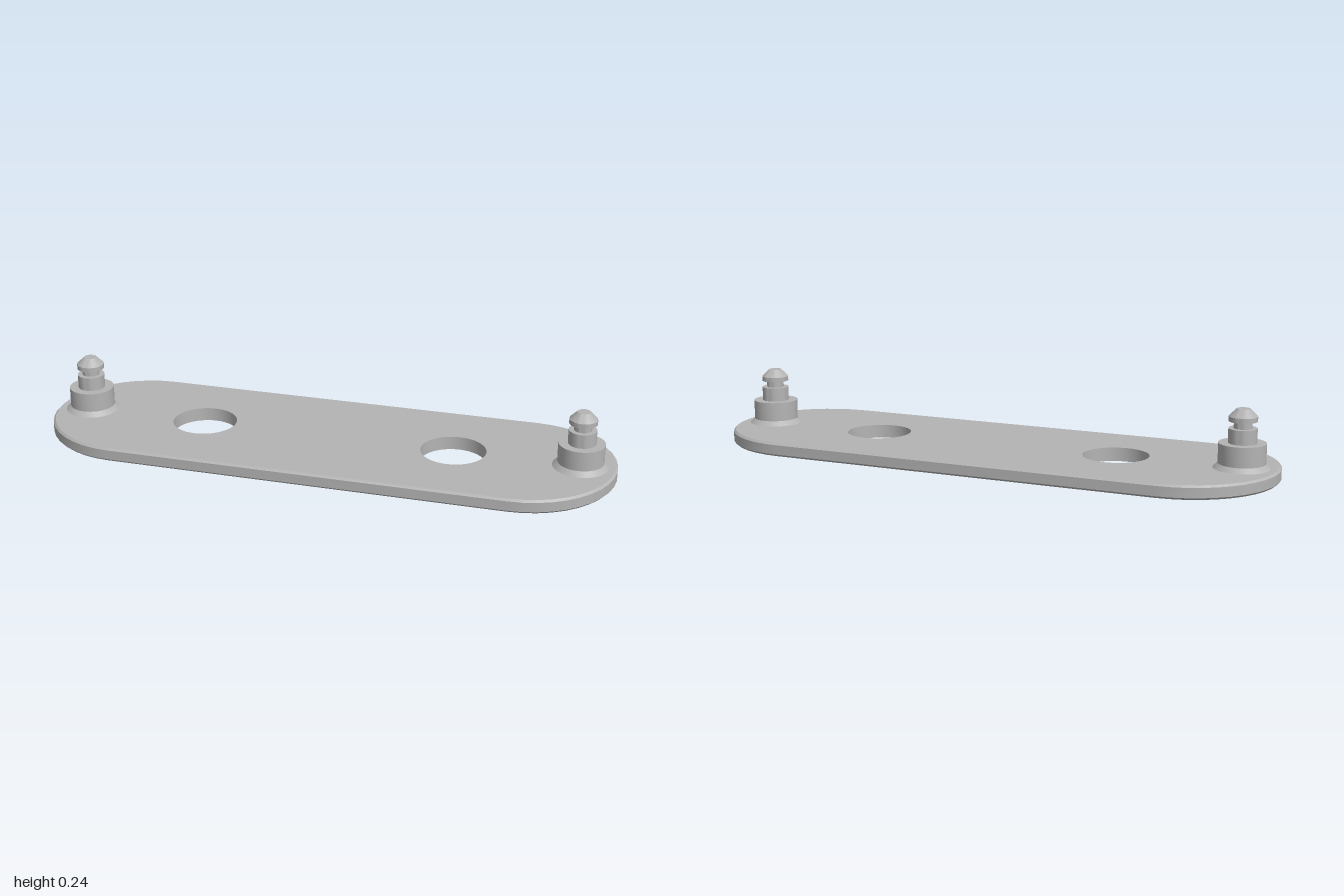
import * as THREE from 'three';
import { toCreasedNormals } from 'three/addons/utils/BufferGeometryUtils.js';

const END_X = 0.685, RADIUS = 0.315, THICK = 0.047, CHAMFER = 0.007;
const HOLE_X = 0.447, HOLE_R = 0.112, PIN_X = 0.877;
const ARC_STEPS = 20;

// Rounded-end outline, counter-clockwise, pulled inward by inset
function outline(inset) {
  const points = [];
  for (const side of [1, -1]) {
    for (let i = 0; i <= ARC_STEPS; i++) {
      const a = -Math.PI / 2 + (Math.PI * i) / ARC_STEPS;
      const r = RADIUS - inset;
      points.push(new THREE.Vector2(side * (END_X + r * Math.cos(a)), side * r * Math.sin(a)));
    }
  }
  return points;
}

// Flat face of the plate with its two holes
function faceGeometry() {
  const shape = new THREE.Shape(outline(CHAMFER));
  for (const side of [1, -1]) {
    shape.holes.push(new THREE.Path().absarc(side * HOLE_X, 0, HOLE_R, 0, Math.PI * 2, true));
  }
  return new THREE.ShapeGeometry(shape, 24);
}

// Chamfered rim joined from four outline loops
function rimGeometry() {
  const levels = [[0, CHAMFER], [CHAMFER, 0], [THICK - CHAMFER, 0], [THICK, CHAMFER]];
  const positions = [], index = [];
  const n = outline(0).length;
  levels.forEach(([y, inset], row) => {
    outline(inset).forEach((p, i) => {
      positions.push(p.x, y, -p.y);
      if (row === levels.length - 1) return;
      const a = row * n + i, b = row * n + ((i + 1) % n);
      index.push(a, b, b + n, a, b + n, a + n);
    });
  });
  const geometry = new THREE.BufferGeometry();
  geometry.setAttribute('position', new THREE.Float32BufferAttribute(positions, 3));
  geometry.setIndex(index);
  return toCreasedNormals(geometry, Math.PI / 6);
}

function turned(profile, segments) {
  const points = profile.map(([r, y]) => new THREE.Vector2(r, y));
  return toCreasedNormals(new THREE.LatheGeometry(points, segments), Math.PI / 6);
}

export function createModel() {
  const model = new THREE.Group();
  model.name = 'linkPlate';
  const steel = new THREE.MeshStandardMaterial({ color: 0xb4b4b4 });
  steel.name = 'grey steel';

  const add = (name, geometry, x = 0, y = 0) => {
    const mesh = new THREE.Mesh(geometry, steel);
    mesh.name = name;
    mesh.position.set(x, y, 0);
    model.add(mesh);
  };

  // Plate
  add('plateTop', faceGeometry().rotateX(-Math.PI / 2), 0, THICK);
  add('plateBottom', faceGeometry().rotateX(Math.PI / 2));
  add('plateRim', rimGeometry());

  // Hole walls (profile runs downward so they face inward) and stepped, grooved pins
  const hole = turned([[HOLE_R, THICK], [HOLE_R, 0]], 48);
  const pin = turned([
    [0.094, THICK], [0.078, 0.063], [0.078, 0.13], [0.047, 0.13], [0.047, 0.178],
    [0.03, 0.178], [0.03, 0.201], [0.047, 0.201], [0.047, 0.217], [0.022, 0.242], [0, 0.242],
  ], 40);
  for (const [label, side] of [['left', 1], ['right', -1]]) {
    add(label + 'HoleWall', hole, side * HOLE_X);
    add(label + 'Pin', pin, side * PIN_X);
  }
  return model;
}
